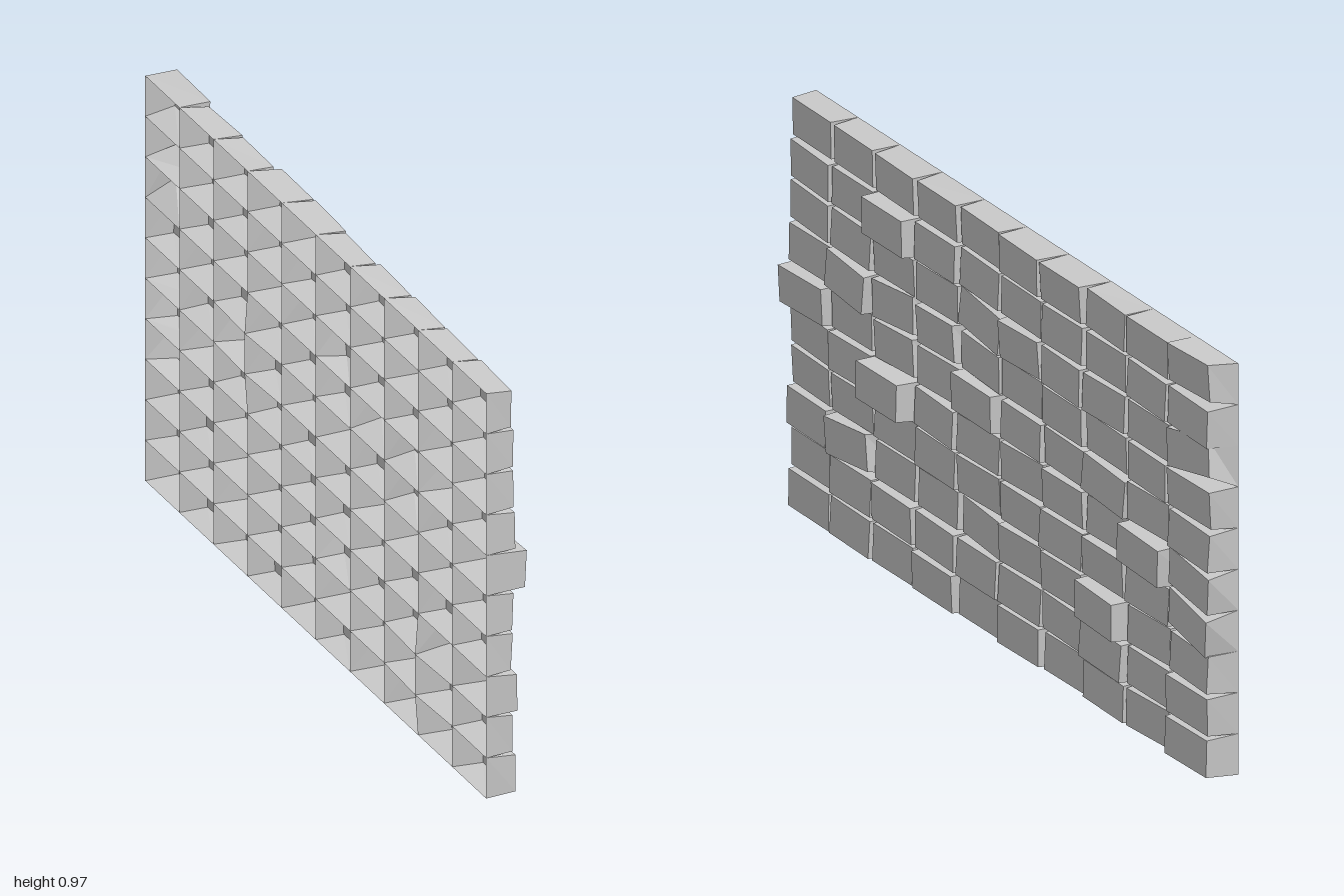
import * as THREE from 'three';

const ROWS = 10, COLS = 10, CW = 0.199, RH = 0.0966, BACK = -0.055;

// Small seeded generator
function seeded(s) {
  return () => {
    s = (s * 16807) % 2147483647;
    return s / 2147483647;
  };
}

// Standout bricks, row-col: [front x, roll, shift along wall, shift up]
const special = {
  '0-9': [0.018, 0.03, 0.002, 0.008],
  '1-2': [0.046, 0, 0, 0],
  '2-4': [0.012, -0.11, 0, 0],
  '2-5': [0.02, 0.04, 0, -0.003],
  '2-9': [0.02, 0.16, 0.003, 0.014],
  '3-1': [0.034, -0.05, 0, 0],
  '3-2': [0.018, 0.08, 0, 0.002],
  '3-3': [0.02, 0.06, 0.004, 0.004],
  '4-0': [0.038, 0, 0, 0],
  '4-2': [0.015, 0.06, 0, 0],
  '4-4': [0.034, 0, 0, 0.004],
  '4-7': [0.02, -0.08, 0, 0],
  '4-9': [0.02, -0.03, 0.006, 0],
  '5-2': [0.06, 0, 0, 0.003],
  '5-8': [0.04, -0.04, 0, 0],
  '5-9': [0.02, -0.1, 0.006, 0.002],
  '6-9': [0.02, -0.13, 0, 0],
  '7-0': [0.02, 0, -0.006, 0],
  '7-1': [0.03, 0.08, 0, 0.004],
  '7-4': [0.012, -0.04, 0.012, 0],
  '7-7': [0.045, 0, 0, 0],
  '8-7': [0.028, -0.03, 0, 0],
  '9-3': [0.026, 0, 0, 0],
  '9-9': [0.026, 0, 0.004, 0],
};

// Grid nodes at the back, with two shallow bulges
function node(r, c) {
  const bulge = (c === 2 && (r === 8 || r === 9)) || (c === 7 && (r === 4 || r === 5));
  return [BACK - (bulge ? 0.007 : 0), (ROWS - r) * RH, 0.995 - c * CW];
}

// Open-backed box: four flared walls and a front face
function brickGeometry(base, front) {
  const pos = [];
  const quad = (a, b, c, d) => pos.push(...a, ...b, ...c, ...a, ...c, ...d);
  for (let i = 0; i < 4; i++) {
    const j = (i + 1) % 4;
    quad(base[i], base[j], front[j], front[i]);
  }
  quad(...front);
  const g = new THREE.BufferGeometry();
  g.setAttribute('position', new THREE.Float32BufferAttribute(pos, 3));
  g.computeVertexNormals();
  return g;
}

export function createModel() {
  const wall = new THREE.Group();
  wall.name = 'brickWall';
  const rand = seeded(4127);
  const material = new THREE.MeshStandardMaterial({
    color: 0xcccccc, flatShading: true, side: THREE.DoubleSide,
  });

  for (let r = 0; r < ROWS; r++) {
    for (let c = 0; c < COLS; c++) {
      const random = [
        0.008 + rand() * 0.014,
        (rand() - 0.5) * 0.03,
        (rand() - 0.5) * 0.004,
        (rand() - 0.5) * 0.003,
      ];
      const [depth, roll, du, dv] = special[`${r}-${c}`] || random;
      const tiltU = (rand() - 0.5) * 0.008, tiltV = (rand() - 0.5) * 0.005;

      // Corners run counterclockwise as seen from the brick face
      const base = [node(r + 1, c), node(r + 1, c + 1), node(r, c + 1), node(r, c)];
      const cy = (ROWS - r - 0.5) * RH, cz = 0.995 - (c + 0.5) * CW;
      const front = [[-1, -1], [1, -1], [1, 1], [-1, 1]].map(([su, sv]) => {
        const u = su * (CW / 2 - 0.006), v = sv * (RH / 2 - 0.005);
        return [
          depth + su * tiltU + sv * tiltV,
          Math.max(0.002, cy + dv + v * Math.cos(roll) + u * Math.sin(roll)),
          cz - du - (u * Math.cos(roll) - v * Math.sin(roll)),
        ];
      });
      const brick = new THREE.Mesh(brickGeometry(base, front), material);
      brick.name = `brickRow${r + 1}Column${c + 1}`;
      wall.add(brick);
    }
  }
  return wall;
}
